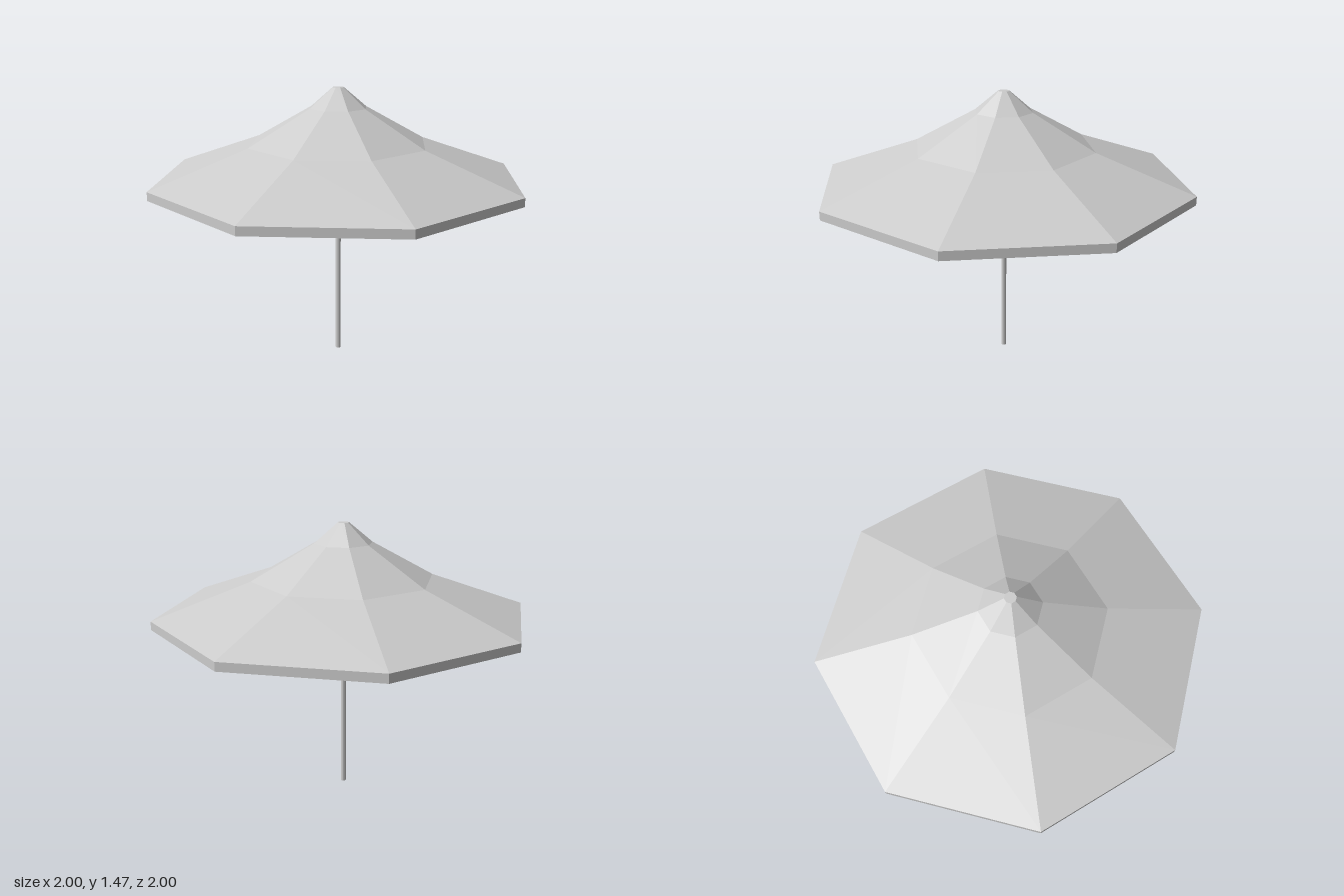
import * as THREE from 'three';

const SIDES = 8;

// Eight-sided surface of revolution; corners fall on the x and z axes
function ring(points) {
  return new THREE.LatheGeometry(points.map(([r, y]) => new THREE.Vector2(r, y)), SIDES);
}

export function createModel() {
  const grey = new THREE.MeshStandardMaterial({ color: 0xcccccc, flatShading: true });
  grey.name = 'light grey';
  const model = new THREE.Group();
  model.name = 'parasol';

  const add = (name, geometry) => {
    const mesh = new THREE.Mesh(geometry, grey);
    mesh.name = name;
    model.add(mesh);
    return mesh;
  };

  // Outer cloth: sweeping up in three slopes to a small flat tip
  add('canopyTop', ring([[1, 0.99], [0.485, 1.175], [0.155, 1.36], [0.03, 1.465], [0, 1.465]]));

  // Short vertical edge around the rim
  add('canopyRim', ring([[1, 0.945], [1, 0.99]]));

  // Shallower lining, facing down
  add('canopyLining', ring([[0, 1.345], [0.03, 1.345], [0.23, 1.165], [0.46, 1.09], [0.73, 1.035], [1, 0.945]]));

  // Slim pole running up into the lining
  const poleHeight = 1.36;
  add('pole', new THREE.CylinderGeometry(0.014, 0.014, poleHeight, 12)).position.y = poleHeight / 2;

  return model;
}
